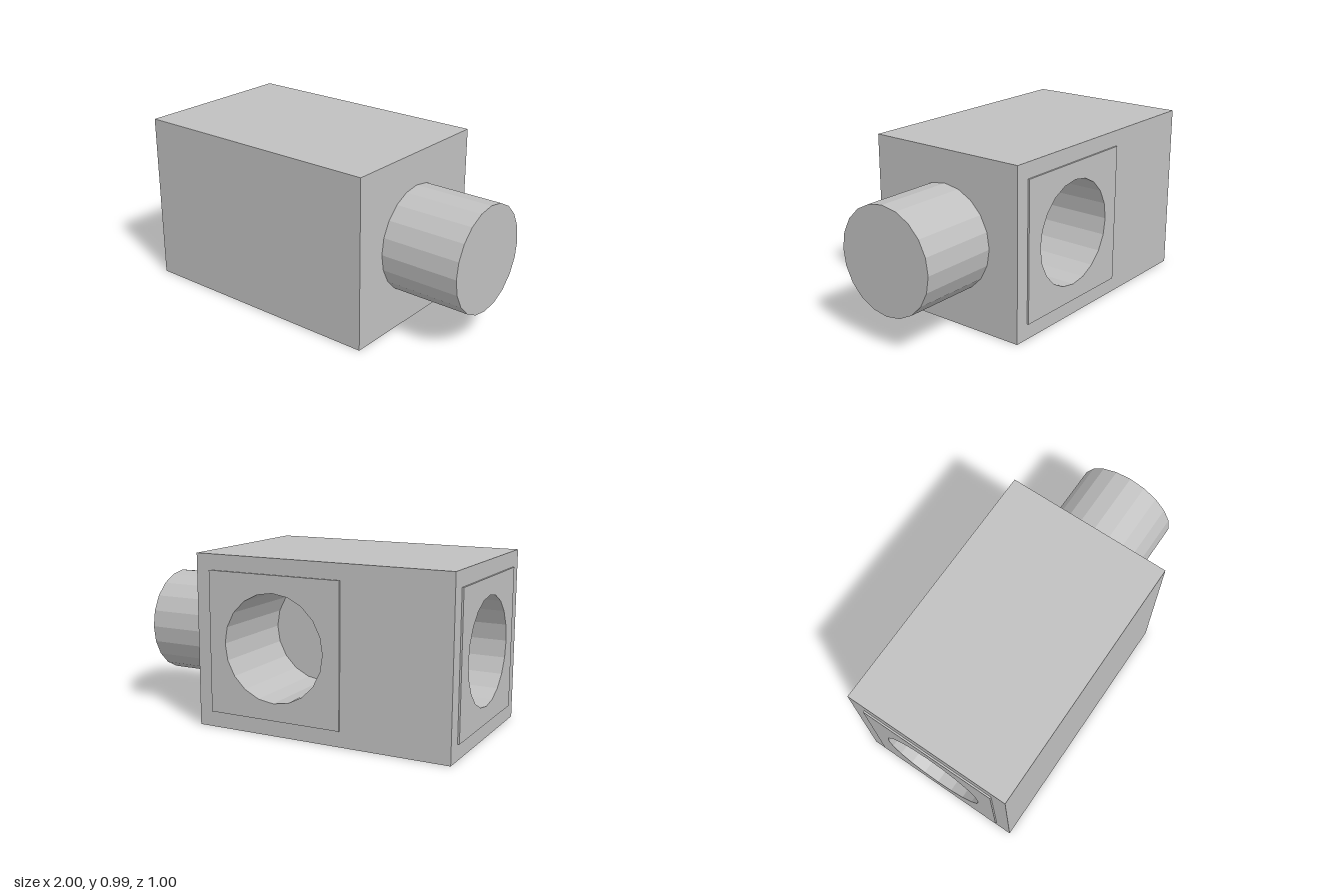
import * as THREE from 'three';

const SIDES = 20, R = 0.306, PLATE = 0.01, DEPTH = 0.56;
const X0 = -0.99, X1 = 0.535, H = 0.99, Z0 = -0.49, Z1 = 0.5;
const MID_X = (X0 + X1) / 2, MID_Y = H / 2, MID_Z = (Z0 + Z1) / 2;

// Gives every facet its own flat normal
function faceted(geometry) {
  const g = geometry.index ? geometry.toNonIndexed() : geometry;
  g.computeVertexNormals();
  return g;
}

// Rectangle pierced by a round, 20-sided hole at the origin
function holedRect(x0, x1, h) {
  const shape = new THREE.Shape([
    new THREE.Vector2(x0, -h / 2), new THREE.Vector2(x1, -h / 2),
    new THREE.Vector2(x1, h / 2), new THREE.Vector2(x0, h / 2),
  ]);
  const ring = [];
  for (let i = 0; i < SIDES; i++) {
    const a = -i / SIDES * Math.PI * 2;
    ring.push(new THREE.Vector2(Math.cos(a) * R, Math.sin(a) * R));
  }
  shape.holes.push(new THREE.Path(ring));
  return shape;
}

export function createModel() {
  const model = new THREE.Group();
  model.name = 'connectorBlock';
  const grey = new THREE.MeshStandardMaterial({ color: 0xc0c0c0 });
  grey.name = 'grey';

  function add(parent, name, geometry) {
    const mesh = new THREE.Mesh(geometry, grey);
    mesh.name = name;
    parent.add(mesh);
    return mesh;
  }

  // Plain walls of the block
  const wall = (name, w, h, pos, rx, ry) => {
    const m = add(model, name, new THREE.PlaneGeometry(w, h));
    m.position.set(...pos);
    m.rotation.set(rx, ry, 0);
  };
  const L = X1 - X0, D = Z1 - Z0, q = Math.PI / 2;
  wall('frontWall', L, H, [MID_X, MID_Y, Z1], 0, 0);
  wall('leftWall', D, H, [X1, MID_Y, MID_Z], 0, q);
  wall('topWall', L, D, [MID_X, H, MID_Z], -q, 0);
  wall('bottomWall', L, D, [MID_X, 0, MID_Z], q, 0);

  // Socket: pierced wall, raised square plate and blind bore, facing local +z
  function socket(name, wallX0, wallX1) {
    const g = new THREE.Group();
    g.name = name;
    add(g, name + 'Wall', new THREE.ShapeGeometry(holedRect(wallX0, wallX1, H)));
    add(g, name + 'Plate', faceted(new THREE.ExtrudeGeometry(
      holedRect(-0.405, 0.405, 0.81), { depth: PLATE, bevelEnabled: false })));

    // Open tube with its winding reversed so that its inside shows
    const bore = new THREE.CylinderGeometry(R, R, DEPTH, SIDES, 1, true);
    const idx = bore.index.array;
    for (let i = 0; i < idx.length; i += 3) [idx[i], idx[i + 1]] = [idx[i + 1], idx[i]];
    bore.rotateX(q);
    add(g, name + 'Bore', faceted(bore)).position.z = -DEPTH / 2;
    add(g, name + 'BoreEnd', new THREE.CircleGeometry(R, SIDES)).position.z = -DEPTH;
    model.add(g);
    return g;
  }

  const backX = 0.045;
  const back = socket('backSocket', backX - X1, backX - X0);
  back.position.set(backX, MID_Y, Z0);
  back.rotation.y = Math.PI;

  const side = socket('rightSocket', -D / 2, D / 2);
  side.position.set(X0, MID_Y, MID_Z);
  side.rotation.y = -q;

  // Round peg on the left end
  const peg = new THREE.CylinderGeometry(R, R, 1 - X1, SIDES);
  peg.rotateZ(-q);
  add(model, 'peg', faceted(peg)).position.set((1 + X1) / 2, MID_Y, MID_Z);

  return model;
}
